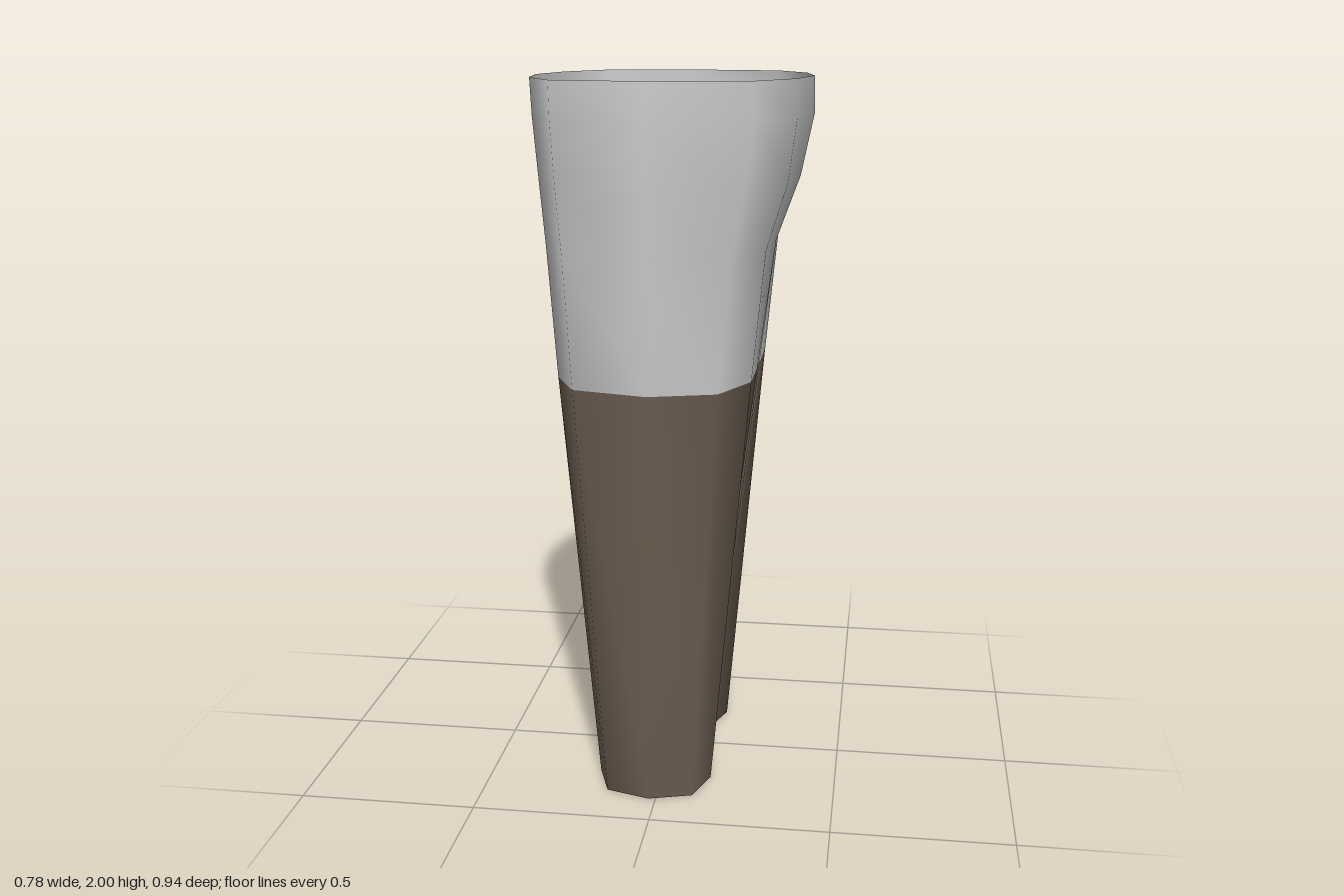
import * as THREE from 'three';
import { mergeVertices } from 'three/addons/utils/BufferGeometryUtils.js';

// Each half-section runs front centre -> outer side -> back centre, as [x, z] (or [x, z, y]).
const UPPER = [
  [2.0, [[.388, 0], [.355, .225], [.26, .41], [-.015, .47], [-.265, .413], [-.355, .23], [-.39, 0]]],
  [1.9, [[.39, 0], [.357, .225], [.262, .41], [-.015, .47], [-.263, .412], [-.35, .23], [-.376, 0]]],
  [1.73, [[.355, 0], [.335, .225], [.24, .408], [-.015, .467], [-.253, .408], [-.335, .23], [-.345, 0]]],
];
// Closed leg sections: the eighth point lies on the inner seam.
const CROTCH = [1.55, [[.29, 0], [.28, .225], [.205, .4], [-.015, .457], [-.24, .4], [-.318, .232], [-.315, 0], [-.02, 0, 1.44]]];
const KNEE = [1.19, [[.245, .03], [.245, .225], [.17, .385], [-.012, .44], [-.22, .387], [-.29, .235], [-.29, .03], [-.02, .02, 1.18]]];
const HEM = [0, [[.1, .112], [.14, .225], [.1, .343], [-.02, .38], [-.145, .343], [-.185, .225], [-.145, .11], [-.02, .073]]];

// Skin neighbouring sections; side = 1 or -1 mirrors across z.
function skin(out, rows, side, closed) {
  const n = closed ? 8 : 7;
  const point = (row, i) => {
    const [x, z, y = row[0]] = row[1][i % n];
    return [x, y, z * side];
  };
  for (let r = 0; r < rows.length - 1; r++) {
    for (let i = 0; i < (closed ? n : n - 1); i++) {
      const a = point(rows[r], i), b = point(rows[r], i + 1);
      const c = point(rows[r + 1], i), d = point(rows[r + 1], i + 1);
      const tris = side > 0 ? [a, b, c, b, d, c] : [a, c, b, b, c, d];
      tris.forEach(p => out.push(...p));
    }
  }
}

function smoothMesh(name, positions, material) {
  let geometry = new THREE.BufferGeometry();
  geometry.setAttribute('position', new THREE.Float32BufferAttribute(positions, 3));
  geometry = mergeVertices(geometry);
  geometry.computeVertexNormals();
  const mesh = new THREE.Mesh(geometry, material);
  mesh.name = name;
  return mesh;
}

export function createModel() {
  const group = new THREE.Group();
  group.name = 'trousers';
  const grey = new THREE.MeshStandardMaterial({ color: 0xcccccc, side: THREE.DoubleSide });
  grey.name = 'light grey cloth';
  const brown = new THREE.MeshStandardMaterial({ color: 0x6b5d50, side: THREE.DoubleSide });
  brown.name = 'brown cloth';

  // Open waist, hips and the tops of both legs
  const upper = [];
  for (const side of [1, -1]) {
    skin(upper, [...UPPER, CROTCH], side, false);
    skin(upper, [CROTCH, KNEE], side, true);
  }
  group.add(smoothMesh('hipsAndThighs', upper, grey));

  // Open, tapering lower legs
  for (const side of [1, -1]) {
    const leg = [];
    skin(leg, [KNEE, HEM], side, true);
    group.add(smoothMesh(side > 0 ? 'frontLeg' : 'rearLeg', leg, brown));
  }
  return group;
}
